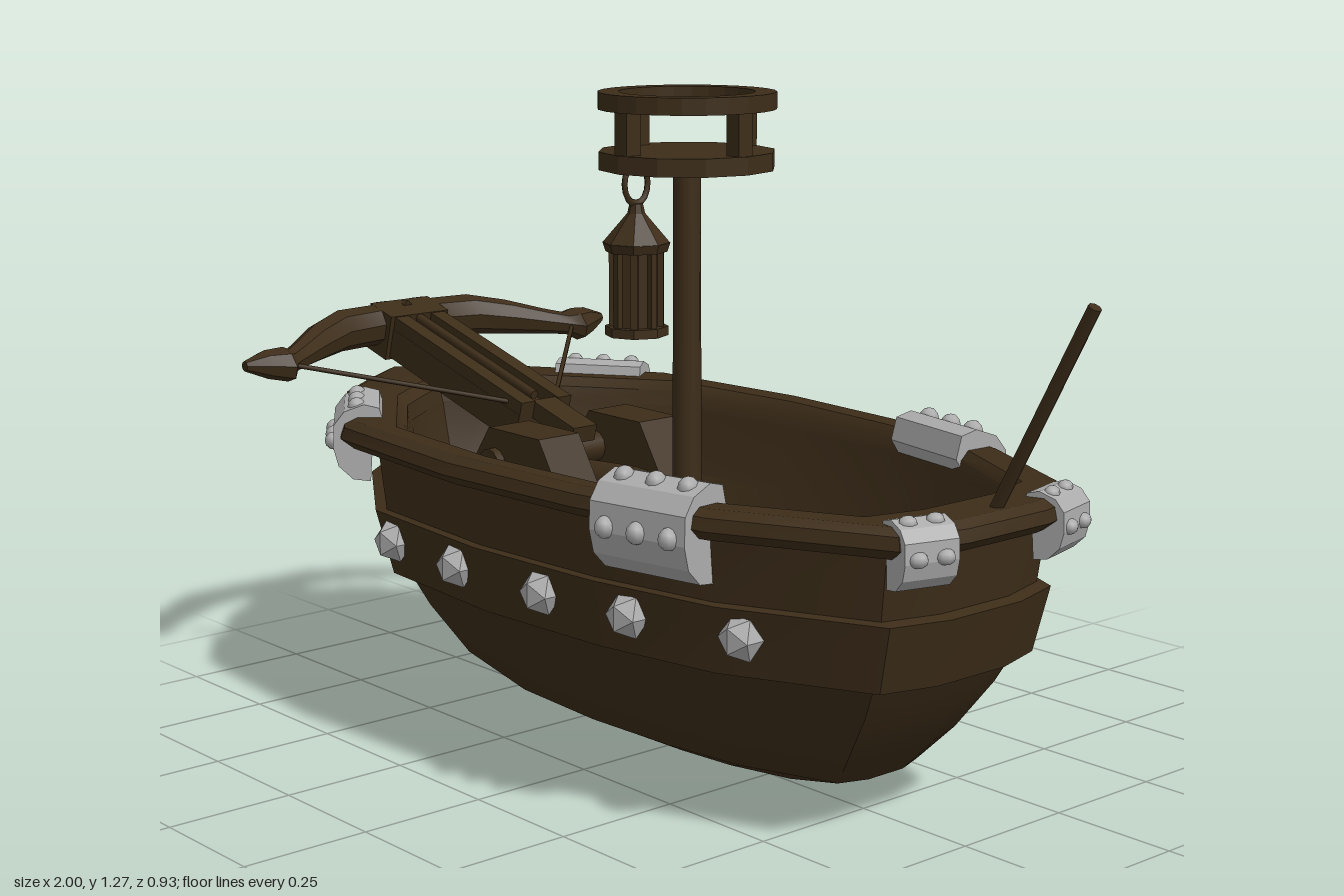
import * as THREE from 'three';
import { toCreasedNormals } from 'three/addons/utils/BufferGeometryUtils.js';

const wood = new THREE.MeshStandardMaterial({ color: 0x3d2d19 });
wood.name = 'dark wood';
const iron = new THREE.MeshStandardMaterial({ color: 0xacacac });
iron.name = 'grey iron';

// Deck plan of the left half, bow to stern: [x, z]
const PLAN = [[-1, 0], [-0.93, 0.1], [-0.85, 0.205], [-0.54, 0.42], [-0.15, 0.455], [0.2, 0.435], [0.49, 0.38], [0.8, 0.23], [0.835, 0.1]];

function add(parent, name, geometry, material, x = 0, y = 0, z = 0) {
  const mesh = new THREE.Mesh(geometry, material);
  mesh.name = name;
  mesh.position.set(x, y, z);
  parent.add(mesh);
  return mesh;
}

// Skin over rings of equal length, with optional end caps
function loft(rings, capStart, capEnd, crease = 0.5) {
  const n = rings[0].length, pos = rings.flat(2), idx = [];
  for (let k = 0; k < rings.length - 1; k++)
    for (let i = 0; i < n; i++) {
      const j = (i + 1) % n, a = k * n + i, b = k * n + j;
      idx.push(a, b, b + n, a, b + n, a + n);
    }
  const cap = (k, flip) => {
    const c = pos.length / 3, r = rings[k];
    for (let d = 0; d < 3; d++) pos.push(r.reduce((s, p) => s + p[d], 0) / n);
    for (let i = 0; i < n; i++) {
      const a = k * n + i, b = k * n + (i + 1) % n;
      idx.push(c, flip ? b : a, flip ? a : b);
    }
  };
  if (capStart) cap(0, true);
  if (capEnd) cap(rings.length - 1, false);
  const g = new THREE.BufferGeometry();
  g.setAttribute('position', new THREE.Float32BufferAttribute(pos, 3));
  g.setIndex(idx);
  return toCreasedNormals(g, crease);
}

// Deck plan fitted to a level: [y, bow x, stern x, half width]
const fitX = (x, bow, stern) => bow + (x + 1) / 1.835 * (stern - bow);
function level([y, bow, stern, w]) {
  const half = PLAN.map(([x, z]) => [fitX(x, bow, stern), y, z / 0.455 * w]);
  return [...half, ...half.slice(1).reverse().map(([x, h, z]) => [x, h, -z])];
}

function rod(parent, name, a, b, r, sides = 8) {
  const A = new THREE.Vector3(...a), B = new THREE.Vector3(...b), d = B.clone().sub(A);
  const m = add(parent, name, new THREE.CylinderGeometry(r, r, d.length(), sides), wood);
  m.position.copy(A).add(B).multiplyScalar(0.5);
  m.quaternion.setFromUnitVectors(new THREE.Vector3(0, 1, 0), d.normalize());
  return m;
}

function buildHull(ship) {
  add(ship, 'lowerHull', loft([
    [0.004, -0.1, 0.1, 0.005], [0.013, -0.2, 0.2, 0.04], [0.035, -0.39, 0.375, 0.1], [0.085, -0.54, 0.555, 0.2],
    [0.155, -0.69, 0.62, 0.27], [0.25, -0.79, 0.69, 0.326], [0.33, -0.845, 0.735, 0.365],
  ].map(level), true, false, 0.6), wood);
  add(ship, 'sidePlankBand', loft([
    [0.318, -0.83, 0.72, 0.355], [0.315, -0.875, 0.755, 0.383], [0.44, -0.93, 0.787, 0.402], [0.445, -0.88, 0.75, 0.385],
  ].map(level)), wood);
  add(ship, 'upperHull', loft([[0.43, -0.89, 0.757, 0.388], [0.575, -0.91, 0.777, 0.402]].map(level)), wood);
  add(ship, 'rail', loft([
    [0.57, -0.9, 0.77, 0.395], [0.565, -0.97, 0.81, 0.435], [0.585, -1, 0.835, 0.458], [0.608, -0.99, 0.83, 0.452],
    [0.62, -0.96, 0.81, 0.432], [0.618, -0.82, 0.715, 0.392], [0.6, -0.79, 0.695, 0.378], [0.565, -0.78, 0.69, 0.37],
  ].map(level)), wood);
  add(ship, 'innerWallsAndFloor', loft([
    [0.57, -0.78, 0.69, 0.37], [0.44, -0.75, 0.65, 0.345], [0.25, -0.6, 0.55, 0.27],
  ].map(level), false, true), wood);

  // Faceted studs along both sides
  const side = level([0.39, -0.91, 0.775, 0.398]).slice(0, PLAN.length);
  for (const x of [-0.44, -0.205, 0.05, 0.27, 0.505]) {
    const k = side.findIndex((p) => p[0] > x), [a, b] = [side[k - 1], side[k]];
    const z = a[2] + (x - a[0]) / (b[0] - a[0]) * (b[2] - a[2]);
    for (const s of [1, -1])
      add(ship, 'hullStud', new THREE.IcosahedronGeometry(0.044, 0), iron, x, 0.388, s * z).scale.z = 0.85;
  }
}

// Iron clamp folded over the rail, at fraction t of a plan edge
function addClamp(ship, edge, t, length, scale, columns, side) {
  const [a, b] = [PLAN[edge], PLAN[edge + 1]], dx = b[0] - a[0], dz = b[1] - a[1];
  const clamp = new THREE.Group();
  clamp.name = 'railClamp';
  clamp.position.set(a[0] + dx * t, 0.58, side * (a[1] + dz * t));
  clamp.rotation.y = Math.atan2(-side * dx, -dz);
  clamp.scale.set(scale, scale, 1);
  const outline = [[-0.055, -0.09], [-0.02, -0.085], [0.008, -0.058], [0.018, -0.02], [0.016, 0.025], [-0.005, 0.052],
    [-0.045, 0.066], [-0.075, 0.058], [-0.085, 0.02], [-0.06, -0.02]];
  const shape = new THREE.Shape(outline.map((p) => new THREE.Vector2(...p)));
  const geo = new THREE.ExtrudeGeometry(shape, { depth: length, bevelEnabled: false });
  add(clamp, 'clampPlate', geo.translate(0, 0, -length / 2), iron);
  for (let i = 0; i < columns; i++) {
    const z = ((i + 0.5) / columns - 0.5) * length;
    for (const [u, v] of [[0.017, -0.012], [-0.03, 0.057]])
      add(clamp, 'clampRivet', new THREE.SphereGeometry(0.018, 8, 6), iron, u, v, z);
  }
  ship.add(clamp);
}

function buildMast(ship) {
  const x = 0.013;
  add(ship, 'mast', new THREE.CylinderGeometry(0.026, 0.029, 0.9, 10), wood, x, 0.695, 0);
  // Lookout: floor disc, four posts and a top ring
  add(ship, 'lookoutFloor', toCreasedNormals(new THREE.CylinderGeometry(0.168, 0.168, 0.034, 12), 0.3), wood, x, 1.15, 0);
  const ring = new THREE.Shape().absarc(0, 0, 0.168, 0, Math.PI * 2);
  ring.holes.push(new THREE.Path().absarc(0, 0, 0.128, 0, Math.PI * 2, true));
  const ringGeo = new THREE.ExtrudeGeometry(ring, { depth: 0.032, bevelEnabled: false, curveSegments: 12 });
  add(ship, 'lookoutRing', ringGeo.rotateX(-Math.PI / 2), wood, x, 1.245, 0);
  for (let i = 0; i < 4; i++) {
    const a = i * Math.PI / 2;
    add(ship, 'lookoutPost', new THREE.BoxGeometry(0.034, 0.09, 0.034), wood, x + 0.145 * Math.cos(a), 1.205, 0.145 * Math.sin(a));
  }

  // Hanging lantern
  const lantern = new THREE.Group();
  lantern.name = 'lantern';
  lantern.position.set(-0.135, 0, 0);
  const tier = (name, top, bottom, h, y) =>
    add(lantern, name, toCreasedNormals(new THREE.CylinderGeometry(top, bottom, h, 8), 0.3), wood, 0, y, 0);
  tier('lanternBase', 0.062, 0.062, 0.018, 0.807);
  tier('lanternBody', 0.044, 0.044, 0.16, 0.89);
  tier('lanternEaves', 0.066, 0.06, 0.018, 0.97);
  tier('lanternRoof', 0.015, 0.066, 0.06, 1.008);
  tier('lanternCap', 0.013, 0.018, 0.022, 1.043);
  for (let i = 0; i < 8; i++) {
    const a = i * Math.PI / 4;
    add(lantern, 'lanternBar', new THREE.BoxGeometry(0.014, 0.155, 0.014), wood, 0.046 * Math.sin(a), 0.89, 0.046 * Math.cos(a)).rotation.y = a;
  }
  const loop = add(lantern, 'lanternLoop', new THREE.TorusGeometry(0.029, 0.006, 6, 16), wood, 0, 1.092, 0);
  loop.rotation.y = Math.PI / 2;
  loop.scale.y = 1.35;
  ship.add(lantern);
}

function buildCrossbow(ship) {
  // Stand with two cheeks and an axle
  const cheek = new THREE.Shape([[-0.43, 0.25], [-0.13, 0.25], [-0.13, 0.46], [-0.22, 0.6], [-0.38, 0.6], [-0.43, 0.53]]
    .map((p) => new THREE.Vector2(...p)));
  for (const s of [1, -1]) {
    const g = new THREE.ExtrudeGeometry(cheek, { depth: 0.1, bevelEnabled: false });
    add(ship, 'standCheek', g.translate(0, 0, -0.05), wood, 0, 0, s * 0.128);
  }
  add(ship, 'standBase', new THREE.BoxGeometry(0.3, 0.12, 0.16), wood, -0.28, 0.31, 0);
  rod(ship, 'standAxle', [-0.36, 0.53, -0.195], [-0.36, 0.53, 0.195], 0.032, 12);
  rod(ship, 'standHandle', [-0.28, 0.48, 0], [-0.14, 0.49, 0], 0.045, 8);

  // Tilted weapon, nose at the bow; local x runs backwards along the stock
  const bow = new THREE.Group();
  bow.name = 'crossbow';
  bow.position.set(-0.95, 0.735, 0);
  bow.rotation.z = -0.27;
  add(bow, 'stock', new THREE.BoxGeometry(0.54, 0.065, 0.13), wood, 0.27, -0.022, 0);
  for (const s of [1, -1])
    add(bow, 'stockRail', new THREE.BoxGeometry(0.54, 0.032, 0.035), wood, 0.27, 0.022, s * 0.047);
  add(bow, 'noseBlock', new THREE.BoxGeometry(0.08, 0.1, 0.15), wood, 0.045, -0.01, 0);
  add(bow, 'stockTail', new THREE.BoxGeometry(0.14, 0.035, 0.06), wood, 0.6, 0.018, 0);
  rod(bow, 'bolt', [0.01, 0.03, 0], [0.5, 0.03, 0], 0.01, 6);
  const tip = add(bow, 'boltHead', new THREE.ConeGeometry(0.022, 0.05, 4), wood, 0.012, 0.03, 0);
  tip.rotation.z = Math.PI / 2;

  // Curved arms: [z, x, half depth, half height]
  const arm = [[0, 0.045, 0.036, 0.04], [0.08, 0.032, 0.04, 0.04], [0.17, 0.038, 0.044, 0.04], [0.25, 0.076, 0.042, 0.034],
    [0.32, 0.12, 0.033, 0.025], [0.36, 0.145, 0.029, 0.022], [0.38, 0.155, 0.045, 0.031], [0.42, 0.145, 0.034, 0.026], [0.467, 0.14, 0.01, 0.01]];
  const full = [...arm.slice(1).reverse().map(([z, ...r]) => [-z, ...r]), ...arm];
  const rings = full.map(([z, x, w, h]) => Array.from({ length: 8 }, (_, i) => {
    const a = (i + 0.5) * Math.PI / 4;
    return [x + w * Math.cos(a) * 1.08, h * Math.sin(a) * 1.08, z];
  }));
  add(bow, 'bowArms', loft(rings, true, true), wood);
  for (const s of [1, -1]) rod(bow, 'bowString', [0.16, 0, s * 0.37], [0.54, 0.025, s * 0.02], 0.005, 6);
  ship.add(bow);
}

export function createModel() {
  const ship = new THREE.Group();
  ship.name = 'boat';
  buildHull(ship);
  for (const s of [1, -1]) {
    addClamp(ship, 2, 0.66, 0.19, 1, 3, s);
    addClamp(ship, 5, 0.55, 0.21, 1.15, 3, s);
    addClamp(ship, 7, 0.4, 0.105, 0.78, 2, s);
  }
  buildMast(ship);
  buildCrossbow(ship);
  rod(ship, 'sternPole', [0.755, 0.56, -0.018], [0.985, 0.985, -0.018], 0.012);
  return ship;
}
